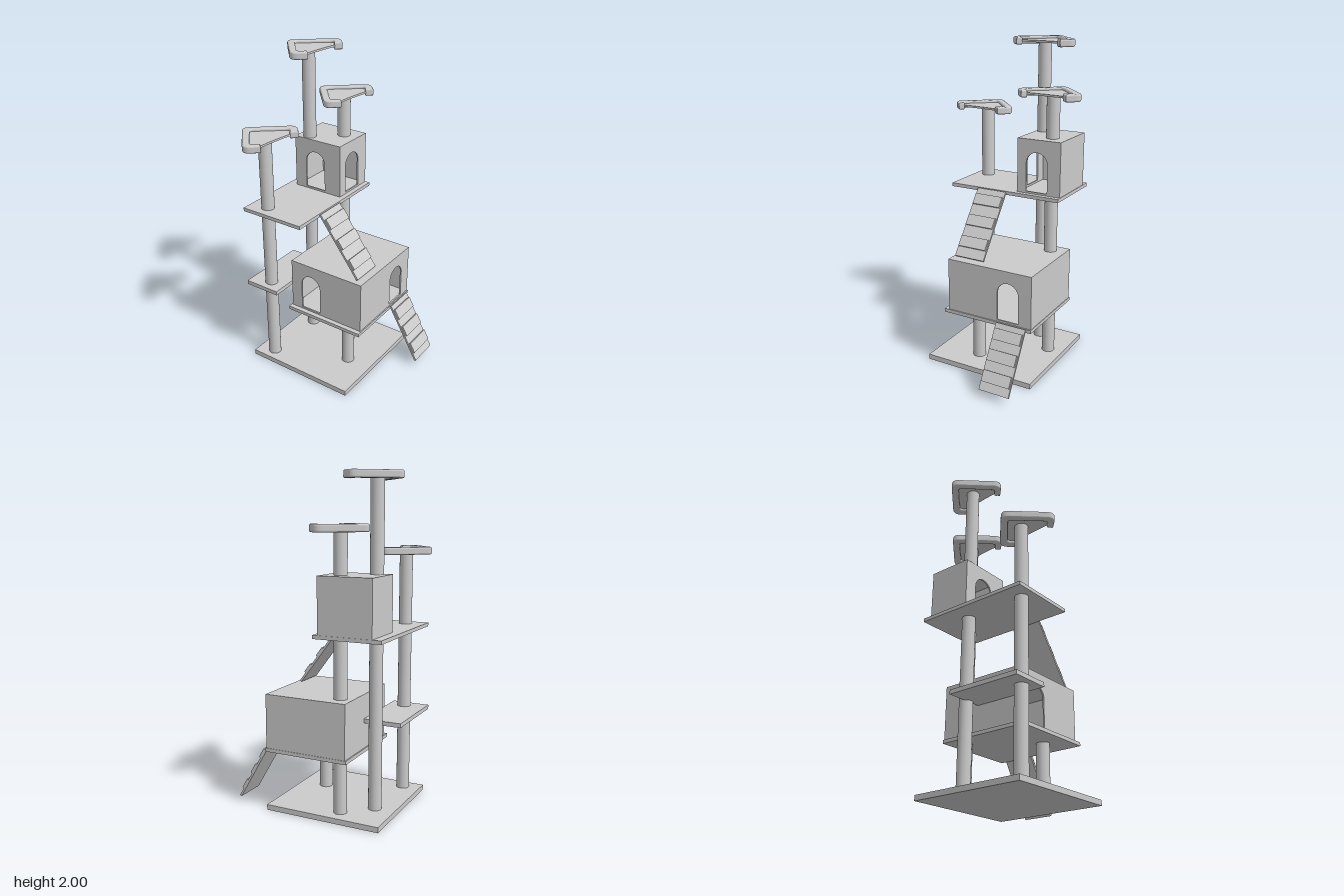
import * as THREE from 'three';

const material = new THREE.MeshStandardMaterial({ color: 0xcccccc, side: THREE.DoubleSide });

function add(parent, name, geometry) {
  const mesh = new THREE.Mesh(geometry, material);
  mesh.name = name;
  parent.add(mesh);
  return mesh;
}

// Box given by its lower and upper limits on each axis
function slab(parent, name, [x0, x1], [y0, y1], [z0, z1]) {
  const mesh = add(parent, name, new THREE.BoxGeometry(x1 - x0, y1 - y0, z1 - z0));
  mesh.position.set((x0 + x1) / 2, (y0 + y1) / 2, (z0 + z1) / 2);
  return mesh;
}

function post(parent, name, x, z, y0, y1) {
  const mesh = add(parent, name, new THREE.CylinderGeometry(0.04, 0.04, y1 - y0, 32));
  mesh.position.set(x, (y0 + y1) / 2, z);
}

// Wall panel with an arched doorway; doorX is measured from the panel's left edge
function doorWall(width, height, thickness, doorX) {
  const shape = new THREE.Shape();
  shape.moveTo(0, 0).lineTo(width, 0).lineTo(width, height).lineTo(0, height).closePath();
  const r = 0.07, sill = 0.012, spring = 0.185;
  const door = new THREE.Path();
  door.moveTo(doorX - r, sill).lineTo(doorX - r, spring);
  door.absarc(doorX, spring, r, Math.PI, 0, true);
  door.lineTo(doorX + r, sill).closePath();
  shape.holes.push(door);
  return new THREE.ExtrudeGeometry(shape, { depth: thickness, bevelEnabled: false, curveSegments: 20 });
}

// Hollow house with doorways in the front and in the +x side
function house(parent, name, [x0, x1], [y0, y1], [z0, z1], doorX, doorZ) {
  const t = 0.01;
  const g = new THREE.Group();
  g.name = name;
  parent.add(g);
  slab(g, 'roof', [x0, x1], [y1 - t, y1], [z0, z1]);
  slab(g, 'backWall', [x0, x1], [y0, y1 - t], [z0, z0 + t]);
  slab(g, 'rightWall', [x0, x0 + t], [y0, y1 - t], [z0 + t, z1 - t]);
  const front = add(g, 'frontWall', doorWall(x1 - x0, y1 - t - y0, t, doorX - x0));
  front.position.set(x0, y0, z1 - t);
  const side = add(g, 'leftWall', doorWall(z1 - z0 - 2 * t, y1 - t - y0, t, z1 - t - doorZ));
  side.rotation.y = Math.PI / 2;
  side.position.set(x1 - t, y0, z1 - t);
}

// Sloping board with three raised treads
function ramp(parent, name, [xa, ya], [xb, yb], [z0, z1]) {
  const g = new THREE.Group();
  g.name = name;
  const length = Math.hypot(xb - xa, yb - ya);
  const width = z1 - z0;
  add(g, 'board', new THREE.BoxGeometry(length, 0.013, width));
  for (const s of [-0.31, 0, 0.31]) {
    const tread = add(g, 'tread', new THREE.BoxGeometry(0.068, 0.014, width - 0.012));
    tread.position.set((s - 0.025) * length, 0.012, 0);
  }
  g.position.set((xa + xb) / 2, (ya + yb) / 2, (z0 + z1) / 2);
  g.rotation.z = Math.atan2(yb - ya, xb - xa);
  parent.add(g);
}

// Closed shape through [x, z, cornerRadius] points, with each corner rounded
function roundedShape(points) {
  const shape = new THREE.Shape();
  const n = points.length;
  points.forEach(([x, z, r], i) => {
    const p = new THREE.Vector2(x, z);
    const toward = ([qx, qz]) => new THREE.Vector2(qx, qz).sub(p).setLength(r).add(p);
    const a = toward(points[(i + n - 1) % n]);
    const b = toward(points[(i + 1) % n]);
    if (i === 0) shape.moveTo(a.x, a.y);
    else shape.lineTo(a.x, a.y);
    shape.quadraticCurveTo(p.x, p.y, b.x, b.y);
  });
  shape.closePath();
  return shape;
}

// Triangular lounging perch: hooked rim, open on the +x side, with a thin bed
function perch(parent, x, y, z) {
  const g = new THREE.Group();
  g.name = 'perch';
  const bevel = 0.01;
  const rim = new THREE.ExtrudeGeometry(roundedShape([
    [-0.178, -0.008, 0.045], [0.067, -0.222, 0.05], [0.135, -0.145, 0.004], [0.098, -0.108, 0.004],
    [0.062, -0.158, 0.028], [-0.118, -0.006, 0.025], [0.035, 0.17, 0.028], [0.078, 0.128, 0.004],
    [0.105, 0.155, 0.004], [0.03, 0.228, 0.05],
  ]), {
    depth: 0.045 - 2 * bevel, bevelThickness: bevel, bevelSize: bevel,
    bevelOffset: -bevel, bevelSegments: 4, curveSegments: 8,
  });
  rim.rotateX(Math.PI / 2).translate(0, 0.045 - bevel, 0);
  add(g, 'rim', rim);

  const bedShape = new THREE.Shape();
  bedShape.moveTo(-0.14, -0.006).lineTo(0.062, -0.182).lineTo(0.102, -0.112);
  bedShape.quadraticCurveTo(0.08, 0.02, 0.08, 0.132);
  bedShape.lineTo(0.035, 0.187).closePath();
  const bed = new THREE.ExtrudeGeometry(bedShape, { depth: 0.012, bevelEnabled: false, curveSegments: 8 });
  bed.rotateX(Math.PI / 2).translate(0, 0.03, 0);
  add(g, 'bed', bed);
  g.position.set(x, y, z);
  parent.add(g);
}

export function createModel() {
  const model = new THREE.Group();
  model.name = 'catTree';

  // Floors
  slab(model, 'base', [-0.45, 0.28], [0, 0.033], [-0.385, 0.342]);
  slab(model, 'lowerPlatform', [-0.25, 0.285], [0.368, 0.39], [-0.388, 0.21]);
  slab(model, 'sideShelf', [-0.475, -0.24], [0.546, 0.572], [-0.13, 0.342]);
  slab(model, 'upperPlatform', [-0.46, -0.037], [1.075, 1.097], [-0.388, 0.35]);

  // Houses
  house(model, 'lowerHouse', [-0.242, 0.278], [0.39, 0.72], [-0.385, 0.18], -0.095, -0.23);
  house(model, 'upperHouse', [-0.405, -0.068], [1.097, 1.43], [-0.385, -0.1], -0.253, -0.23);

  // Posts, interrupted by the houses
  post(model, 'frontPost', -0.34, 0.265, 0.03, 1.545);
  post(model, 'tallPostLower', -0.325, -0.145, 0.03, 1.08);
  post(model, 'tallPostUpper', -0.325, -0.145, 1.43, 1.975);
  post(model, 'backPostLower', -0.165, -0.285, 0.03, 0.37);
  post(model, 'backPostMiddle', -0.165, -0.285, 0.72, 1.08);
  post(model, 'backPostUpper', -0.165, -0.285, 1.43, 1.685);
  post(model, 'shortPost', 0.112, 0.065, 0.03, 0.37);

  // Ramps
  ramp(model, 'upperRamp', [-0.034, 1.09], [0.235, 0.732], [-0.042, 0.155]);
  ramp(model, 'lowerRamp', [0.288, 0.388], [0.49, 0.042], [-0.357, -0.16]);

  // Perches
  perch(model, -0.34, 1.525, 0.265);
  perch(model, -0.325, 1.955, -0.16);
  perch(model, -0.175, 1.668, -0.275);

  return model;
}
